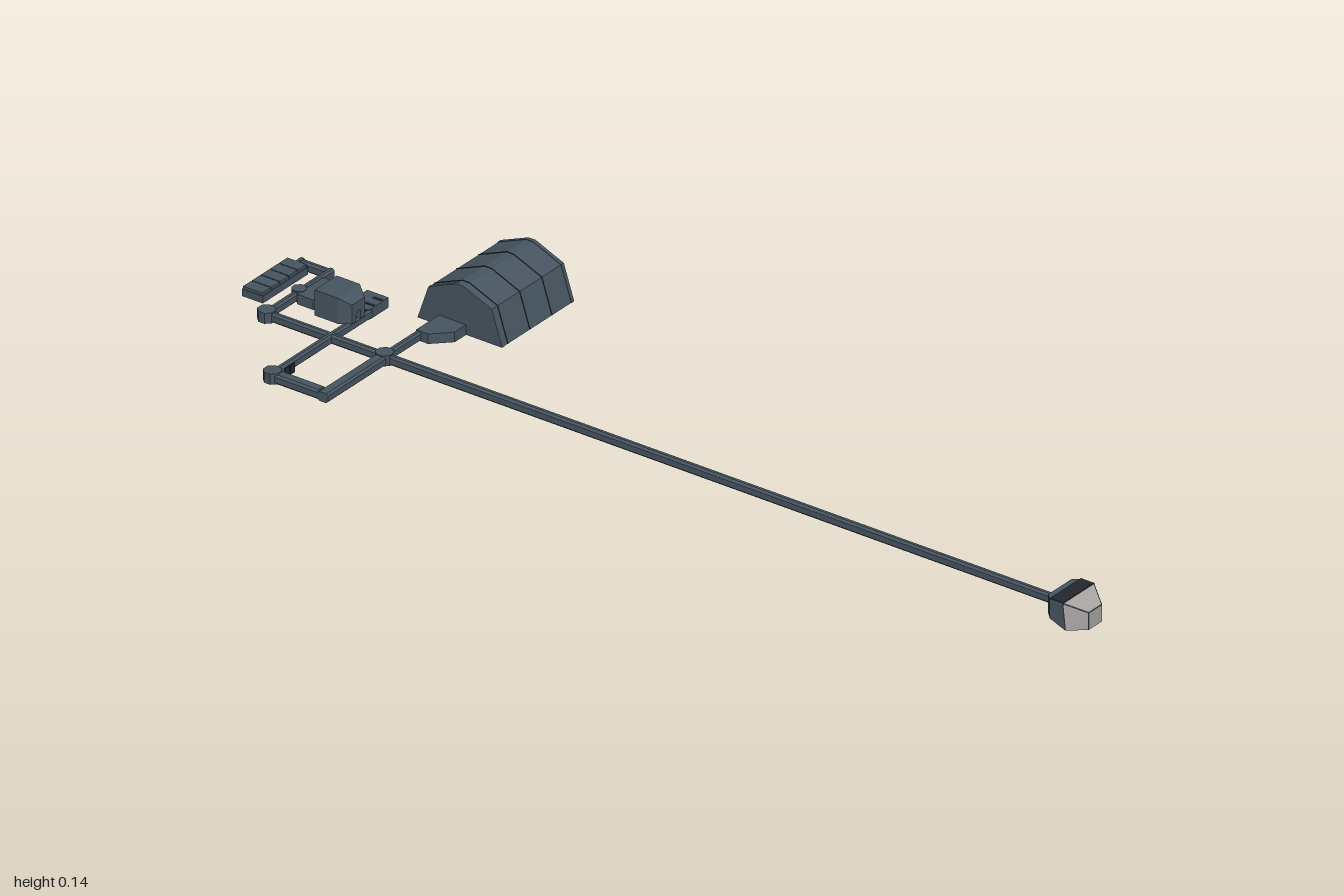
import * as THREE from 'three';
import { ConvexGeometry } from 'three/addons/geometries/ConvexGeometry.js';

const mat = (name, color, side = THREE.FrontSide) => {
  const m = new THREE.MeshStandardMaterial({ color, side });
  m.name = name;
  return m;
};

export function createModel() {
  const slate = mat('slate hull', 0x465460);
  const dark = mat('dark trim', 0x22282e);
  const glass = mat('grey window', 0xa6a3a1, THREE.DoubleSide);
  const root = new THREE.Group();
  root.name = 'station';

  const add = (name, geo, material, x = 0, y = 0, z = 0) => {
    const m = new THREE.Mesh(geo, material);
    m.name = name;
    m.position.set(x, y, z);
    root.add(m);
    return m;
  };
  const box = (name, x0, x1, y0, y1, z0, z1, material = slate) =>
    add(name, new THREE.BoxGeometry(x1 - x0, y1 - y0, z1 - z0), material,
      (x0 + x1) / 2, (y0 + y1) / 2, (z0 + z1) / 2);
  const outline = pts => new THREE.Shape(pts.map(p => new THREE.Vector2(...p)));
  const extrude = (pts, depth) =>
    new THREE.ExtrudeGeometry(outline(pts), { depth, bevelEnabled: false });

  // Corridor with bevelled top and bottom edges between two floor points
  const corridor = (name, x0, z0, x1, z1, w = 0.014) => {
    const h = w / 2, c = 0.004;
    const geo = extrude([[-h + c, 0.015], [h - c, 0.015], [h, 0.015 + c], [h, 0.035 - c],
      [h - c, 0.035], [-h + c, 0.035], [-h, 0.035 - c], [-h, 0.015 + c]],
      Math.hypot(x1 - x0, z1 - z0));
    add(name, geo, slate, x0, 0, z0).rotation.y = Math.atan2(x1 - x0, z1 - z0);
  };
  corridor('mainCorridor', -0.1, -0.91, -0.1, 0.93);
  corridor('hangarCorridor', -0.1, -0.638, 0.08, -0.638);
  corridor('wideCorridor', -0.291, -0.638, -0.1, -0.638, 0.024);
  corridor('wideCorridorSide', -0.279, -0.65, -0.279, -0.765, 0.024);
  corridor('crossCorridor', -0.28, -0.762, 0.02, -0.762);
  corridor('rearCorridor', -0.1, -0.91, 0.1, -0.91);
  corridor('rearCorridorSide', 0.093, -0.91, 0.093, -0.981);
  corridor('rearCorridorEnd', 0.1, -0.977, 0.06, -0.977);

  // Octagonal junctions
  for (const [x, z, r] of [[-0.1, -0.638, 0.018], [-0.1, -0.91, 0.018],
    [-0.28, -0.762, 0.018], [0, -0.91, 0.015]]) {
    const g = new THREE.CylinderGeometry(r, r, 0.022, 8).toNonIndexed();
    g.computeVertexNormals();
    add('junction', g, slate, x, 0.026, z).rotation.y = Math.PI / 8;
  }

  // Rooms with one cut corner, drawn in plan
  const room = (name, x0, x1, z0, z1, cut) => {
    const g = extrude([[x0, -z0], [x0, cut - z1], [x0 + cut, -z1], [x1, -z1], [x1, -z0]], 0.021);
    add(name, g, slate, 0, 0.015, 0).rotation.x = -Math.PI / 2;
  };
  room('hangarLobby', 0.003, 0.08, -0.643, -0.58, 0.035);
  room('crossRoom', 0.003, 0.071, -0.806, -0.757, 0.012);
  room('rearRoom', -0.02, 0.06, -0.9, -0.843, 0.02);

  // Rear block: slab with a row of raised cells
  box('rearBlock', -0.056, 0.083, 0.015, 0.03, -1, -0.952);
  for (let i = 0; i < 5; i++) {
    const x = -0.055 + i * 0.0277;
    box('rearCell', x, x + 0.0255, 0.029, 0.036, -0.998, -0.954);
  }

  // Small fittings on and below the cross corridor
  for (const x of [-0.025, 0.002, 0.03, 0.055]) box('roofHatch', x - 0.003, x + 0.003, 0.034, 0.037, -0.78, -0.76, dark);
  for (const x of [-0.246, -0.23]) box('corridorFitting', x - 0.007, x + 0.007, 0.01, 0.03, -0.769, -0.753, dark);

  // Hangar: arched section along x, with seams and end frames
  const arch = [[-0.097, 0], [0.098, 0], [0.073, 0.073], [0.008, 0.1], [-0.008, 0.1], [-0.073, 0.073]];
  const hangarSlice = (name, x0, x1, s, material) => {
    const g = extrude(arch.map(([a, b]) => [a * s, b * s]), x1 - x0);
    add(name, g, material, x0, 0.015, -0.594).rotation.y = Math.PI / 2;
  };
  hangarSlice('hangar', 0.081, 0.289, 0.99, slate);
  for (const x of [0.092, 0.16, 0.228]) hangarSlice('hangarSeam', x - 0.001, x + 0.001, 1, dark);
  for (const x of [0.073, 0.287]) hangarSlice('hangarEndFrame', x, x + 0.008, 1, slate);

  // Control tower: saddle-shaped body with a tapered nose
  const saddle = [[-0.034, 0], [-0.007, 0], [-0.007, 0.02], [0.007, 0.02], [0.007, 0],
    [0.034, 0], [0.034, 0.054], [-0.034, 0.054]];
  add('tower', extrude(saddle, 0.053), slate, -0.1, 0.083, -0.774);
  const nose = extrude(saddle, 0.022);
  const p = nose.attributes.position;
  for (let i = 0; i < p.count; i++) {
    if (p.getZ(i) < 0.01) continue;
    if (Math.abs(p.getX(i)) > 0.02) p.setX(i, Math.sign(p.getX(i)) * 0.02);
    if (p.getY(i) > 0.03) p.setY(i, 0.04);
  }
  nose.computeVertexNormals();
  add('towerNose', nose, slate, -0.1, 0.083, -0.721);

  // Front pod: faceted body with inset window panes
  const V = (x, y, z) => new THREE.Vector3(x, y, z);
  const pts = [];
  for (const s of [-1, 1]) {
    pts.push(V(s * 0.036, 0.055, 0.917), V(s * 0.036, 0.018, 0.917),
      V(s * 0.048, 0.055, 0.93), V(s * 0.048, 0.014, 0.93),
      V(s * 0.048, 0.055, 0.96), V(s * 0.048, 0, 0.966),
      V(s * 0.02, 0.036, 0.999), V(s * 0.02, 0, 0.999));
  }
  add('pod', new ConvexGeometry(pts), slate, -0.1, 0, 0);
  const pane = (name, corners) => {
    const mid = corners.reduce((a, c) => a.add(c), V(0, 0, 0)).divideScalar(corners.length);
    const n = corners[1].clone().sub(corners[0]).cross(corners[2].clone().sub(corners[0])).normalize();
    const tri = [];
    const fan = corners.length - 1;
    const c = corners.map(q => q.clone().lerp(mid, 0.05).addScaledVector(n, 0.001));
    for (let i = 1; i < fan; i++) tri.push(c[0], c[i], c[i + 1]);
    const g = new THREE.BufferGeometry().setFromPoints(tri);
    g.computeVertexNormals();
    add(name, g, glass, -0.1, 0, 0);
  };
  pane('frontWindow', [V(-0.02, 0, 0.999), V(0.02, 0, 0.999), V(0.02, 0.036, 0.999), V(-0.02, 0.036, 0.999)]);
  pane('upperWindow', [V(-0.02, 0.036, 0.999), V(0.02, 0.036, 0.999), V(0.048, 0.055, 0.96), V(-0.048, 0.055, 0.96)]);
  pane('leftWindow', [V(0.02, 0, 0.999), V(0.048, 0, 0.966), V(0.048, 0.055, 0.96), V(0.02, 0.036, 0.999)]);
  pane('rightWindow', [V(-0.048, 0, 0.966), V(-0.02, 0, 0.999), V(-0.02, 0.036, 0.999), V(-0.048, 0.055, 0.96)]);
  box('podRoofEdge', -0.148, -0.052, 0.051, 0.0565, 0.93, 0.961, dark);

  return root;
}
